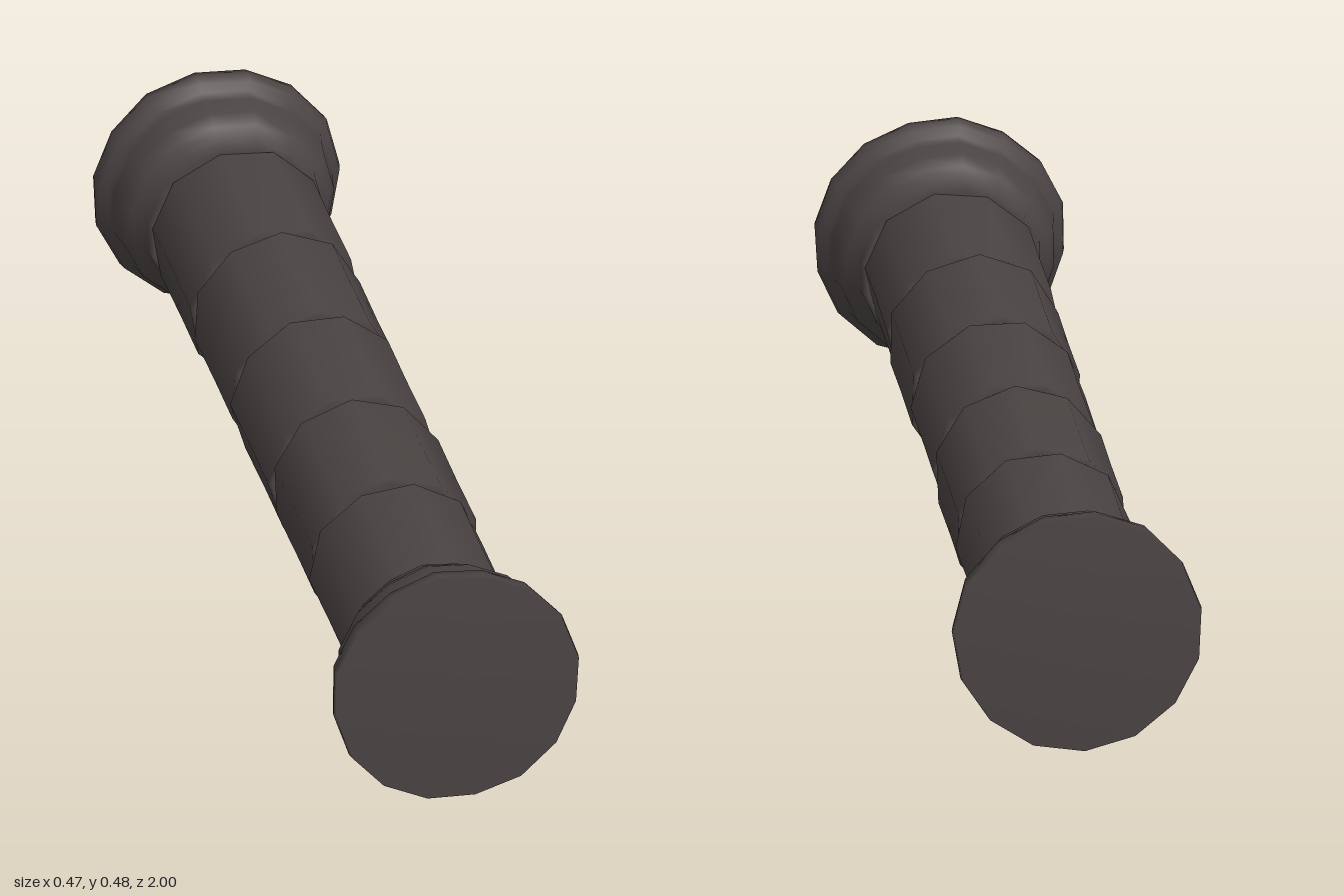
import * as THREE from 'three';

// Small repeatable noise in -1..1
function makeNoise(seed) {
  let s = seed;
  return () => {
    s = (s * 16807) % 2147483647;
    return (s / 2147483647) * 2 - 1;
  };
}

// Turned stone along z, slightly uneven from corner to corner
function turnedStone(profile, sides, turn, wobble, seed) {
  const points = profile.map(([r, z]) => new THREE.Vector2(r, z));
  const geo = new THREE.LatheGeometry(points, sides, turn, Math.PI * 2);
  const noise = makeNoise(seed);
  const scale = Array.from({ length: sides }, () => 1 + noise() * wobble);
  const pos = geo.attributes.position;
  for (let i = 0; i < pos.count; i++) {
    const k = scale[Math.floor(i / points.length) % sides];
    pos.setXYZ(i, pos.getX(i) * k, pos.getY(i), pos.getZ(i) * k);
  }
  geo.rotateX(Math.PI / 2);
  return geo;
}

export function createModel() {
  const group = new THREE.Group();
  group.name = 'fallenColumn';
  const stone = new THREE.MeshStandardMaterial({ color: 0x4a4443 });
  stone.name = 'darkStone';
  const axisY = 0.242;

  function add(name, geo, z) {
    const mesh = new THREE.Mesh(geo, stone);
    mesh.name = name;
    mesh.position.set(0, axisY, z);
    group.add(mesh);
    return mesh;
  }

  // Five shaft drums, each turned a little differently
  const length = 0.327;
  const h = length / 2 - 0.001;
  const drum = [[0, -h], [0.16, -h], [0.167, -h + 0.008], [0.166, 0], [0.167, h - 0.008], [0.16, h], [0, h]];
  for (let i = 0; i < 5; i++) {
    add('shaftDrum' + (i + 1), turnedStone(drum, 10, 0.2 + i * 0.37, 0.018, 11213 + i * 7919), (i - 2) * length);
  }

  // Moulded foot and head, wide plate outward
  const moulding = [
    [0, 0.81], [0.165, 0.81], [0.173, 0.822], [0.176, 0.845], [0.194, 0.862],
    [0.208, 0.89], [0.214, 0.93], [0.219, 0.953], [0.235, 0.96], [0.24, 0.985], [0.238, 1], [0, 1],
  ];
  add('frontMoulding', turnedStone(moulding, 16, 0.15, 0.008, 4241), 0);
  add('backMoulding', turnedStone(moulding, 15, 0.05, 0.01, 90017), 0).rotation.y = Math.PI;

  return group;
}
